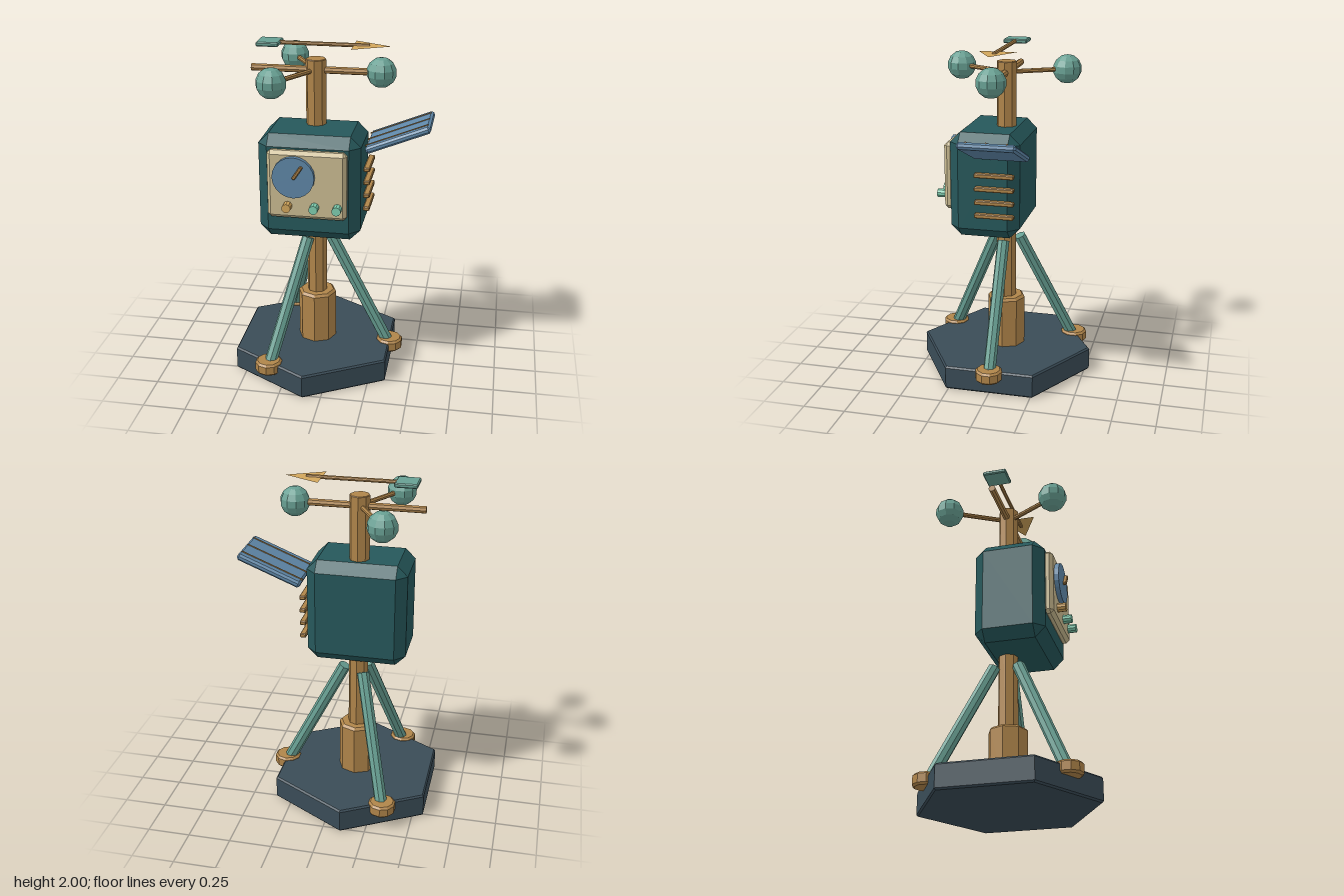
import * as THREE from 'three';
import { ConvexGeometry } from 'three/addons/geometries/ConvexGeometry.js';

const AXIS = -0.107; // x of the mast

const paint = (color) => new THREE.MeshStandardMaterial({ color, flatShading: true });
const slate = paint(0x3a4c57);
const bronze = paint(0xb0854a);
const sage = paint(0x68a093);
const teal = paint(0x26585b);
const cream = paint(0xcbbc92);
const blue = paint(0x5f87a8);
const gold = paint(0xd2a65c);
const mint = paint(0x7fcfb0);

// Box with every edge and corner cut by c
function chamferBox(w, h, d, c) {
  const points = [];
  for (const sx of [-1, 1]) for (const sy of [-1, 1]) for (const sz of [-1, 1]) {
    const x = w / 2, y = h / 2, z = d / 2;
    points.push(
      new THREE.Vector3(sx * x, sy * (y - c), sz * (z - c)),
      new THREE.Vector3(sx * (x - c), sy * y, sz * (z - c)),
      new THREE.Vector3(sx * (x - c), sy * (y - c), sz * z));
  }
  return new ConvexGeometry(points);
}

// Upright prism from y0 to y1 with cut rims
function prism(r, y0, y1, sides, c) {
  const profile = [[0, y0], [r - c, y0], [r, y0 + c], [r, y1 - c], [r - c, y1], [0, y1]];
  return new THREE.LatheGeometry(profile.map(([x, y]) => new THREE.Vector2(x, y)), sides);
}

// Straight rod between two points
function rod(a, b, r, sides = 8) {
  const from = new THREE.Vector3(...a), to = new THREE.Vector3(...b);
  const dir = to.clone().sub(from);
  const geo = new THREE.CylinderGeometry(r, r, dir.length(), sides);
  geo.applyQuaternion(new THREE.Quaternion().setFromUnitVectors(
    new THREE.Vector3(0, 1, 0), dir.normalize()));
  const mid = from.add(to).multiplyScalar(0.5);
  return geo.translate(mid.x, mid.y, mid.z);
}

// Point at a distance from the mast
const around = (angle, r, y) => [AXIS + r * Math.cos(angle), y, r * Math.sin(angle)];

export function createModel() {
  const model = new THREE.Group();
  const add = (name, geo, mat, x = 0, y = 0, z = 0, parent = model) => {
    const mesh = new THREE.Mesh(geo, mat);
    mesh.name = name;
    mesh.position.set(x, y, z);
    parent.add(mesh);
    return mesh;
  };

  // Base and mast
  add('base', prism(0.528, 0, 0.145, 6, 0.01), slate, AXIS);
  add('mastSleeve', prism(0.115, 0.13, 0.46, 8, 0.015), bronze, AXIS);
  add('mast', prism(0.059, 0.4, 1.905, 8, 0.004), bronze, AXIS);

  // Three legs with feet, and three cups on arms above them
  for (let i = 0; i < 3; i++) {
    const angle = i * Math.PI * 2 / 3;
    add('leg', rod(around(angle, 0.445, 0.12), around(angle, 0.083, 0.832), 0.037), sage);
    const [fx, , fz] = around(angle, 0.452, 0);
    add('foot', prism(0.08, 0.088, 0.16, 10, 0.012), bronze, fx, 0, fz);
    const cup = around(angle, 0.372, 1.84);
    const start = i === 0 ? around(0, -0.373, 1.84) : around(angle, 0, 1.84);
    add('cupArm', rod(start, cup, i === 0 ? 0.021 : 0.014), bronze);
    add('cup', new THREE.SphereGeometry(0.086, 10, 7), sage, ...cup);
  }

  // Instrument housing
  add('housing', chamferBox(0.585, 0.62, 0.412, 0.06), teal, AXIS, 1.215, 0.073);

  // Front panel with dial, pointer and knobs
  add('frontPanel', chamferBox(0.452, 0.4, 0.06, 0.02), cream, AXIS, 1.256, 0.293);
  const dial = new THREE.CylinderGeometry(0.12, 0.12, 0.035, 20).rotateX(Math.PI / 2);
  add('dial', dial, blue, -0.177, 1.312, 0.332);
  add('pointer', chamferBox(0.02, 0.088, 0.024, 0.005), bronze, -0.15, 1.347, 0.359)
    .rotation.z = -0.58;
  [[-0.214, gold], [-0.06, mint], [0.07, mint]].forEach(([x, mat]) => {
    const knob = new THREE.CylinderGeometry(0.026, 0.026, 0.055, 10).rotateX(Math.PI / 2);
    add('knob', knob, mat, x, 1.136, 0.346);
  });

  // Side vent bars
  for (let i = 0; i < 4; i++) {
    add('ventBar', chamferBox(0.036, 0.026, 0.232, 0.005), bronze, 0.204, 1.057 + i * 0.08, 0);
  }

  // Tilted solar panel
  const solar = new THREE.Group();
  solar.name = 'solarPanel';
  solar.position.set(0.376, 1.483, -0.042);
  solar.rotation.z = 0.385;
  model.add(solar);
  add('solarSlab', chamferBox(0.39, 0.04, 0.326, 0.012), blue, 0, 0, 0, solar);
  for (const z of [-0.113, 0, 0.113]) {
    add('solarStrip', new THREE.BoxGeometry(0.38, 0.008, 0.008), bronze, -0.004, 0.02, z, solar);
  }

  // Wind vane: shaft, tail plate and flat arrowhead
  add('vaneShaft', rod([-0.42, 1.988, 0], [0.197, 1.988, 0], 0.012), bronze);
  add('vaneTail', chamferBox(0.13, 0.025, 0.142, 0.006), sage, -0.372, 1.9875, 0);
  const head = new THREE.Shape([[0.107, -0.11], [0.318, 0], [0.107, 0.11]]
    .map(([x, y]) => new THREE.Vector2(x, y)));
  const headMat = gold.clone();
  headMat.side = THREE.DoubleSide;
  add('vaneArrowhead', new THREE.ShapeGeometry(head).rotateX(-Math.PI / 2), headMat, 0, 1.988, 0);

  return model;
}
